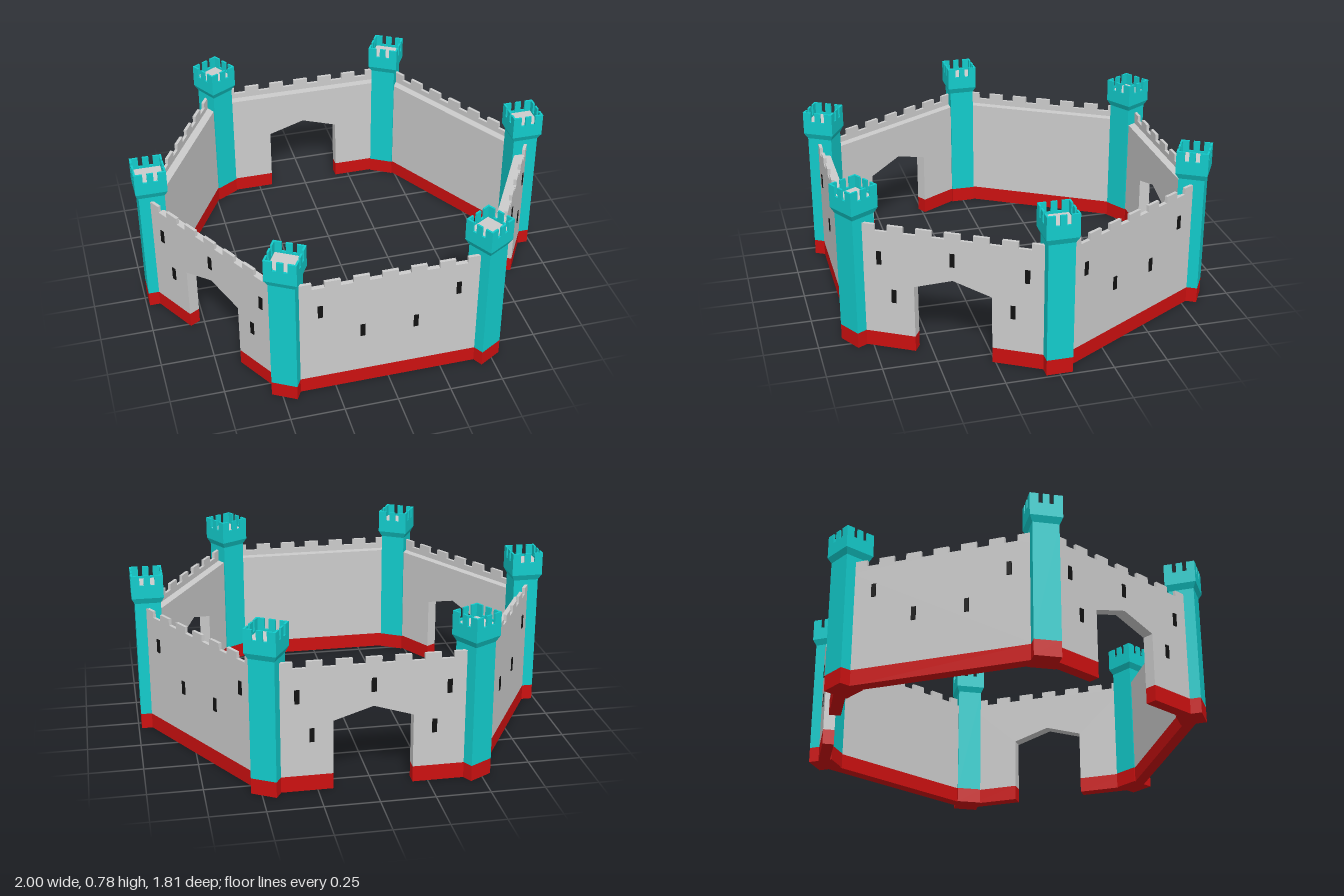
import * as THREE from 'three';

const mat = (color) => new THREE.MeshStandardMaterial({ color, flatShading: true });
const R = 0.925;                       // centre to tower axis
const HALF = 0.43;                     // half length of a wall
const OUTER = 0.84, INNER = 0.785;     // wall faces, measured from the centre
const BASE = 0.075;                    // height of the red plinth

function add(parent, name, geometry, material, x = 0, y = 0, z = 0) {
  const mesh = new THREE.Mesh(geometry, material);
  mesh.name = name;
  mesh.position.set(x, y, z);
  parent.add(mesh);
  return mesh;
}

function extrude(points, depth) {
  const shape = new THREE.Shape(points.map(([x, y]) => new THREE.Vector2(x, y)));
  return new THREE.ExtrudeGeometry(shape, { depth, bevelEnabled: false });
}

// Crenellated strip: alternating merlons and gaps along its top edge
function battlement(bottom, gapY, top, spans, depth) {
  const total = spans.reduce((a, b) => a + b, 0);
  const points = [[total / 2, bottom], [-total / 2, bottom]];
  let x = -total / 2;
  spans.forEach((w, i) => {
    const y = i % 2 ? gapY : top;
    points.push([x, y], [x + w, y]);
    x += w;
  });
  return extrude(points.reverse(), depth);
}

export function createModel() {
  const grey = mat(0xcccccc), teal = mat(0x12cccc), red = mat(0xcc1010), black = mat(0x111111);
  const model = new THREE.Group();
  model.name = 'castle';

  function makeWall(hasGate) {
    const wall = new THREE.Group();
    wall.name = hasGate ? 'gateWall' : 'plainWall';
    const thick = OUTER - INNER, walk = 0.56;
    const gate = 0.18, spring = 0.33, peak = 0.387;

    // Wall body, with a pointed opening where there is a gate
    const outline = [[HALF, BASE], [HALF, walk], [-HALF, walk], [-HALF, BASE]];
    if (hasGate) outline.push([-gate, BASE], [-gate, spring], [0, peak], [gate, spring], [gate, BASE]);
    add(wall, 'wallBody', extrude(outline, thick), grey, 0, 0, INNER);

    // Plinth, split by the gate
    if (hasGate) {
      const w = HALF - gate;
      for (const s of [-1, 1]) {
        add(wall, 'wallBase', new THREE.BoxGeometry(w, BASE, thick), red, s * (gate + w / 2), BASE / 2, (OUTER + INNER) / 2);
      }
    } else {
      add(wall, 'wallBase', new THREE.BoxGeometry(2 * HALF, BASE, thick), red, 0, BASE / 2, (OUTER + INNER) / 2);
    }

    // Thin parapet along the outer edge of the walkway
    const spans = Array.from({ length: 13 }, (_, i) => (i % 2 ? 0.0582 : 0.073));
    add(wall, 'parapet', battlement(walk, 0.587, 0.618, spans, 0.015), grey, 0, 0, OUTER - 0.015);

    // Arrow slits on the outer face
    const slits = hasGate
      ? [[-0.34, 0.456], [0.34, 0.456], [0, 0.488], [-0.275, 0.27], [0.275, 0.27]]
      : [[-0.32, 0.456], [0.32, 0.456], [-0.124, 0.308], [0.124, 0.308]];
    for (const [x, y] of slits) {
      add(wall, 'arrowSlit', new THREE.BoxGeometry(0.022, 0.065, 0.008), black, x, y, OUTER);
    }
    return wall;
  }

  function makeTower() {
    const tower = new THREE.Group();
    tower.name = 'tower';
    const shaft = 0.061, cap = 0.075, flareY = 0.643, capY = 0.672, floorY = 0.725;
    add(tower, 'towerBase', new THREE.BoxGeometry(2 * shaft, BASE, 2 * shaft), red, 0, BASE / 2, 0);
    add(tower, 'towerShaft', new THREE.BoxGeometry(2 * shaft, flareY - BASE, 2 * shaft), teal, 0, (flareY + BASE) / 2, 0);

    // Flared course under the cap
    const flare = new THREE.CylinderGeometry(cap * Math.SQRT2, shaft * Math.SQRT2, capY - flareY, 4);
    flare.rotateY(Math.PI / 4);
    add(tower, 'towerFlare', flare, teal, 0, (flareY + capY) / 2, 0);

    // Grey floor inside a rim of four crenellated sides
    const inner = 2 * cap - 0.016;
    add(tower, 'towerFloor', new THREE.BoxGeometry(inner, floorY - capY, inner), grey, 0, (floorY + capY) / 2, 0);
    const rim = battlement(capY, 0.735, 0.783, [0.04, 0.02, 0.03, 0.02, 0.04], 0.009);
    rim.translate(0, 0, cap - 0.009);
    for (let i = 0; i < 4; i++) {
      add(tower, 'towerBattlement', rim, teal).rotation.y = i * Math.PI / 2;
    }
    return tower;
  }

  // Six sides: plain and gated walls alternate, with a tower at each corner
  for (let i = 0; i < 6; i++) {
    const wall = makeWall(i % 2 === 1);
    wall.rotation.y = i * Math.PI / 3;
    model.add(wall);

    const angle = (i + 0.5) * Math.PI / 3;
    const tower = makeTower();
    tower.position.set(R * Math.sin(angle), 0, R * Math.cos(angle));
    tower.rotation.y = angle;
    model.add(tower);
  }
  return model;
}
